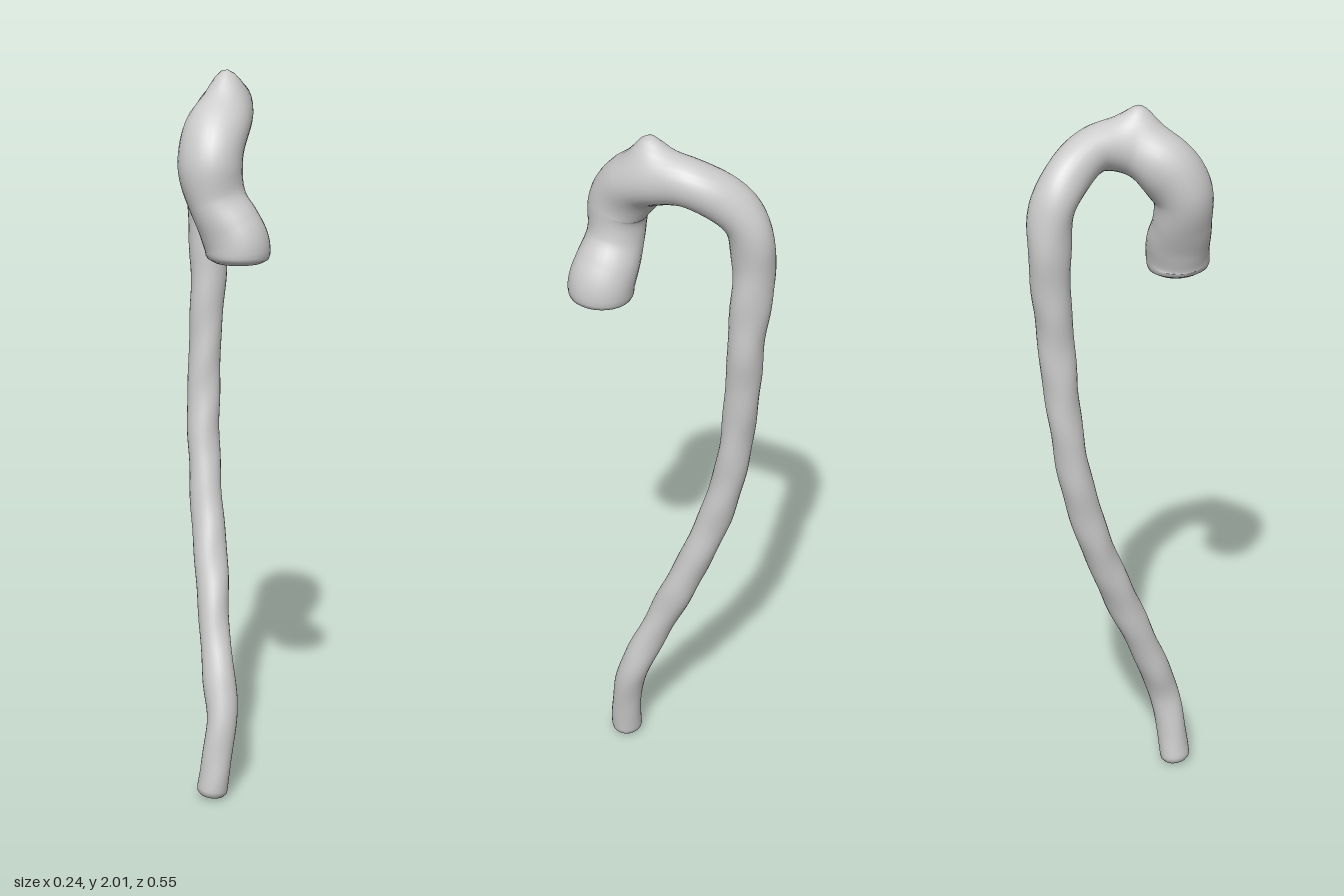
import * as THREE from 'three';

// Centre line from foot to handle tip: x, y, z, radius
const STATIONS = [
  [-0.033, 0.005, 0.15, 0.043],
  [-0.02, 0.1, 0.147, 0.042],
  [0, 0.22, 0.133, 0.042],
  [0.003, 0.32, 0.1, 0.045],
  [0, 0.43, 0.053, 0.042],
  [0.008, 0.6, -0.02, 0.046],
  [0.01, 0.8, -0.1, 0.045],
  [0.015, 1.0, -0.157, 0.045],
  [0.025, 1.2, -0.185, 0.045],
  [0.04, 1.45, -0.202, 0.05],
  [0.036, 1.68, -0.217, 0.056],
  [0.04, 1.8, -0.198, 0.06],
  [0.05, 1.87, -0.135, 0.062],
  [0.06, 1.91, -0.05, 0.063],
  [0.038, 1.905, 0.03, 0.07],
  [-0.005, 1.865, 0.1, 0.083],
  [-0.037, 1.78, 0.15, 0.083],
  [-0.02, 1.69, 0.162, 0.077],
  [0.01, 1.62, 0.175, 0.084],
  [0.03, 1.57, 0.187, 0.087],
  [0.032, 1.52, 0.19, 0.082],
];

const RINGS = 280;
const SIDES = 28;

// Gentle, repeatable unevenness of whittled wood
function grain(u, a) {
  return 1 + 0.022 * Math.sin(u * 95 + 2 * Math.sin(a))
    + 0.02 * Math.sin(2 * a + u * 41) + 0.015 * Math.sin(3 * a - u * 67);
}

// Sweep a ring of varying radius along the path; both ends round off and close
function sweptRod(stations) {
  const path = new THREE.CatmullRomCurve3(
    stations.map(([x, y, z]) => new THREE.Vector3(x, y, z)));
  const radii = new THREE.SplineCurve(
    stations.map((s, i) => new THREE.Vector2(i, s[3])));
  const length = path.getLength();
  const frames = path.computeFrenetFrames(RINGS, false);
  const knot = new THREE.Vector3(0.025, 1.965, 0.06);
  const positions = [];
  const indices = [];
  const p = new THREE.Vector3();

  for (let i = 0; i <= RINGS; i++) {
    const u = i / RINGS;
    const centre = path.getPointAt(u);
    const fromEnd = Math.min(u, 1 - u) * length;
    const cap = Math.sqrt(1 - Math.max(0, 1 - fromEnd / 0.025) ** 2);
    const r = radii.getPoint(path.getUtoTmapping(u)).y * cap;
    for (let j = 0; j < SIDES; j++) {
      const a = (j / SIDES) * Math.PI * 2;
      const k = r * grain(u, a);
      p.copy(centre)
        .addScaledVector(frames.normals[i], Math.cos(a) * k)
        .addScaledVector(frames.binormals[i], Math.sin(a) * k);
      // Raised knot on top of the crook
      p.y += 0.042 * Math.exp(-p.distanceToSquared(knot) / 0.0022);
      positions.push(p.x, Math.max(0, p.y), p.z);
      if (i < RINGS) {
        const next = (j + 1) % SIDES;
        const a0 = i * SIDES + j, b0 = i * SIDES + next;
        const a1 = a0 + SIDES, b1 = b0 + SIDES;
        indices.push(a0, b0, a1, b0, b1, a1);
      }
    }
  }

  const geometry = new THREE.BufferGeometry();
  geometry.setAttribute('position', new THREE.Float32BufferAttribute(positions, 3));
  geometry.setIndex(indices);
  geometry.computeVertexNormals();
  return geometry;
}

export function createModel() {
  const group = new THREE.Group();
  group.name = 'walkingStick';
  const material = new THREE.MeshStandardMaterial({ color: 0xcccccc });

  // Shaft, crook and flared handle grow as one continuous piece
  const stick = new THREE.Mesh(sweptRod(STATIONS), material);
  stick.name = 'shaftAndCrook';
  group.add(stick);
  return group;
}
